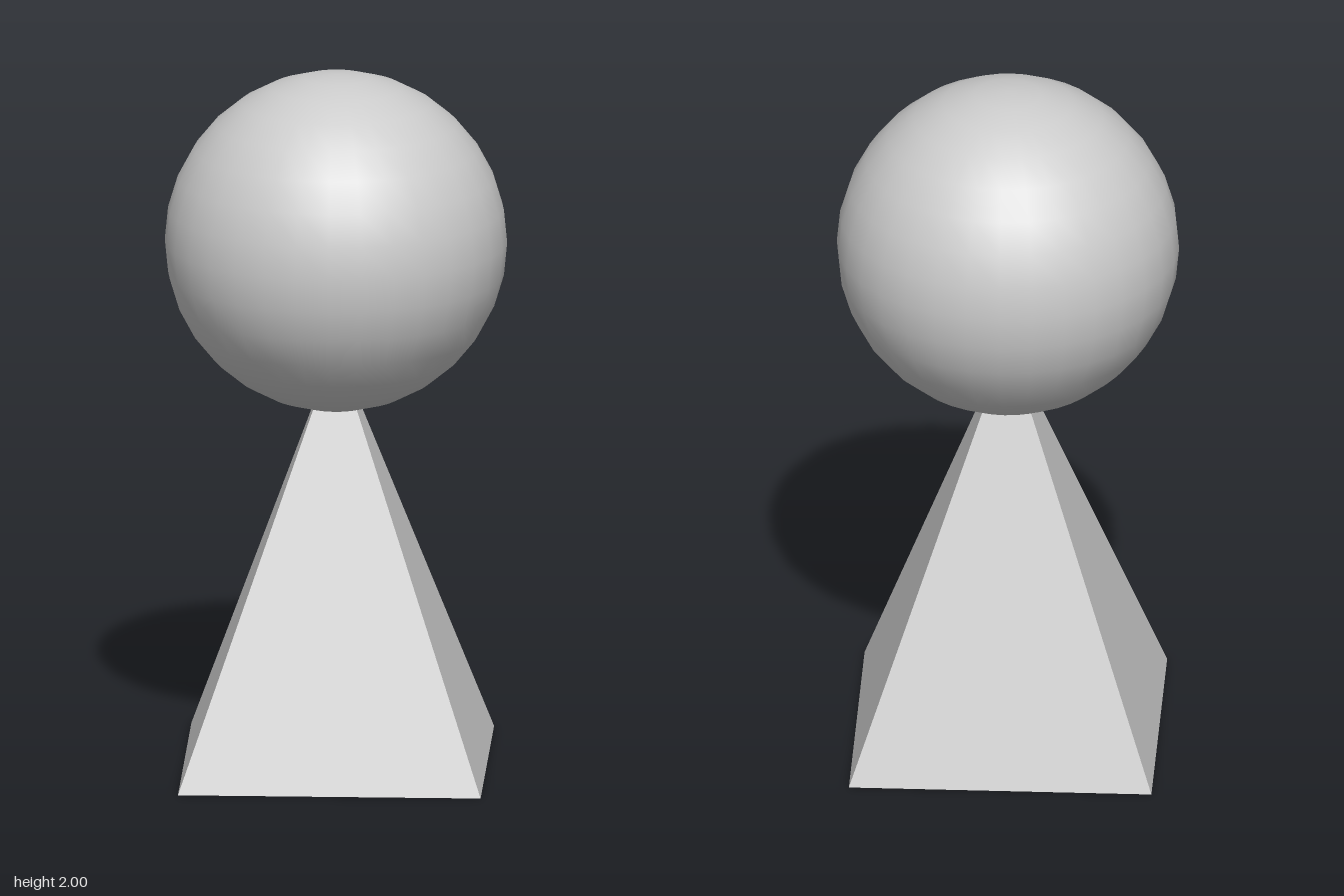
import * as THREE from 'three';

export function createModel() {
  const group = new THREE.Group();
  const unit = 2 / 3.3; // overall height is 3.3 base radii

  // four-sided pyramid body, sides square to the axes
  const bodyGeometry = new THREE.ConeGeometry(unit, 2 * unit, 4);
  bodyGeometry.rotateY(Math.PI / 4);
  const body = new THREE.Mesh(
    bodyGeometry,
    new THREE.MeshStandardMaterial({ color: 0xcccccc, flatShading: true })
  );
  body.name = 'pyramidBody';
  body.position.y = unit;

  // smooth ball head, swallowing the pyramid's tip
  const head = new THREE.Mesh(
    new THREE.SphereGeometry(0.8 * unit, 32, 16),
    new THREE.MeshStandardMaterial({ color: 0xcccccc })
  );
  head.name = 'ballHead';
  head.position.y = 2.5 * unit;

  group.add(body, head);
  return group;
}
